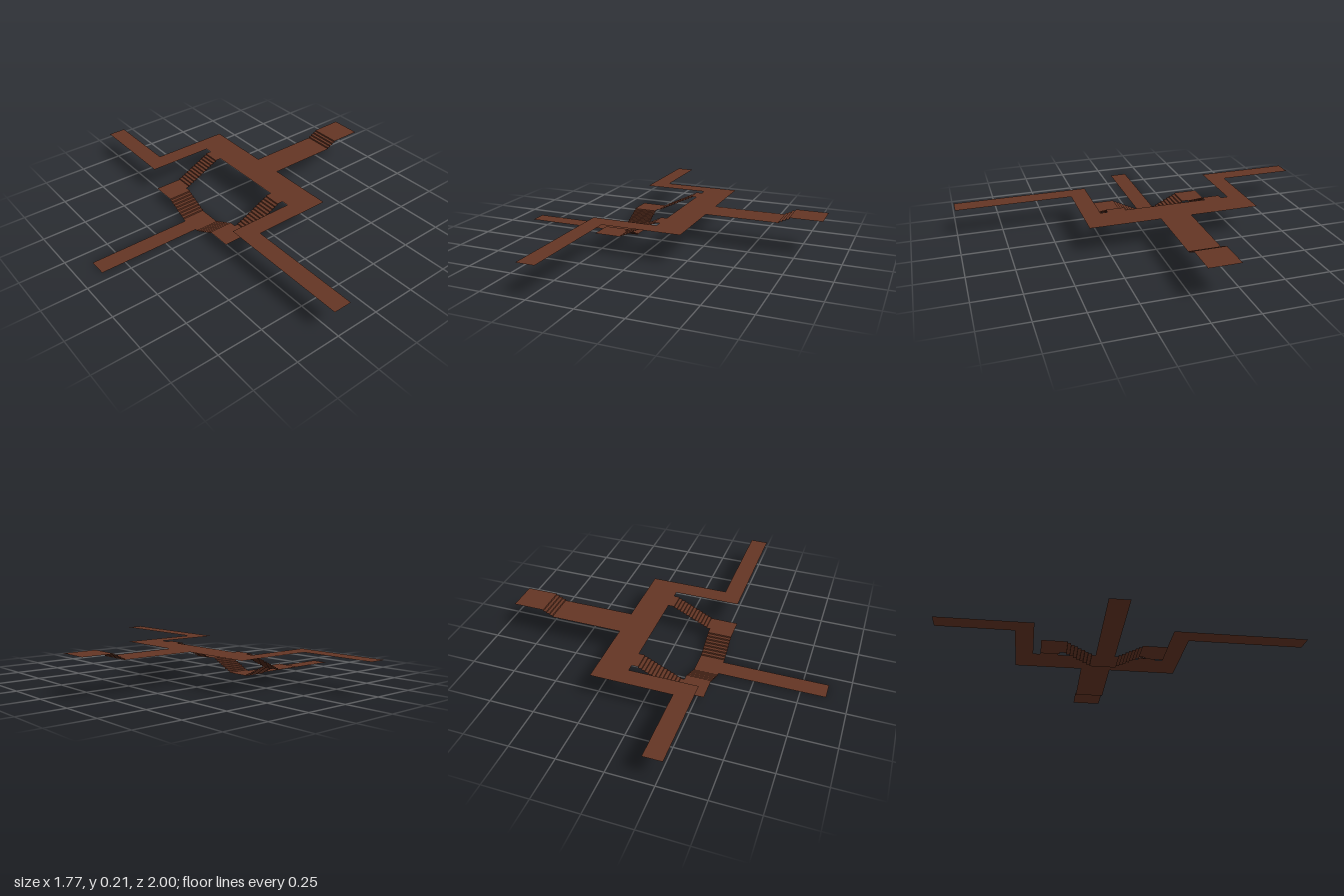
import * as THREE from 'three';

const wood = new THREE.MeshStandardMaterial({ color: 0x643524, side: THREE.DoubleSide });
wood.name = 'brown boards';

const RISE = 0.21 / 24;              // height of one step
const TREAD = 0.0178;                // depth of one step
const AXIS = -0.11;                  // z of the walkway's line of symmetry
const LOW = 0, MID = 8 * RISE, MAIN = 20 * RISE, HIGH = 24 * RISE;

export function createModel() {
  const model = new THREE.Group();
  model.name = 'walkways';

  // horizontal sheet covering x0..x1, z0..z1 at height y
  function deck(name, x0, x1, z0, z1, y, parent = model) {
    const geo = new THREE.PlaneGeometry(Math.abs(x1 - x0), Math.abs(z1 - z0)).rotateX(-Math.PI / 2);
    const mesh = new THREE.Mesh(geo, wood);
    mesh.name = name;
    mesh.position.set((x0 + x1) / 2, y, (z0 + z1) / 2);
    parent.add(mesh);
  }

  // open flight rising along local +x, starting with a riser at the origin
  function stairs(name, width, risers, x, y, z, turn) {
    const flight = new THREE.Group();
    flight.name = name;
    for (let i = 0; i < risers; i++) {
      const riser = new THREE.Mesh(new THREE.PlaneGeometry(width, RISE).rotateY(-Math.PI / 2), wood);
      riser.name = 'riser';
      riser.position.set(i * TREAD, (i + 0.5) * RISE, 0);
      flight.add(riser);
      if (i < risers - 1) {
        deck('tread', i * TREAD, (i + 1) * TREAD, -width / 2, width / 2, (i + 1) * RISE, flight);
      }
    }
    flight.position.set(x, y, z);
    flight.rotation.y = turn;
    model.add(flight);
  }

  // main deck and the arm rising to the end platform
  deck('mainDeck', 0.08, 0.25, -0.58, 0.36, MAIN);
  deck('leftArm', 0.25, 0.655, AXIS - 0.085, AXIS + 0.085, MAIN);
  stairs('leftArmStairs', 0.17, 4, 0.655, MAIN, AXIS, 0);
  deck('leftPlatform', 0.655 + 3 * TREAD, 0.885, AXIS - 0.085, AXIS + 0.085, HIGH);

  // lowest landing and its long arm
  deck('lowLanding', -0.305, -0.17, AXIS - 0.07, AXIS + 0.07, LOW);
  deck('rightArm', -0.885, -0.305, AXIS - 0.05, AXIS + 0.05, LOW);

  // mirrored branches: s = -1 back, s = 1 front
  for (const s of [-1, 1]) {
    const side = s < 0 ? 'back' : 'front';
    const z = (d) => AXIS + s * d;
    deck(side + 'Link', -0.19, 0.08, z(0.37), z(0.47), MAIN);
    deck(side + 'Arm', -0.29, -0.19, z(0.37), s, MAIN);

    // upper flight from the main deck down to the corner
    const foot = -0.15;
    deck(side + 'StairHead', foot + 11 * TREAD, 0.08, z(0.23), z(0.33), MAIN);
    stairs(side + 'UpperStairs', 0.1, 12, foot, MID, z(0.28), 0);

    // corner landing and lower flight down to the low landing
    deck(side + 'Corner', -0.305, -0.17, z(0.07 + 7 * TREAD), z(0.33), MID);
    deck(side + 'StairFoot', -0.17, foot, z(0.23), z(0.33), MID);
    stairs(side + 'LowerStairs', 0.135, 8, -0.2375, LOW, z(0.07), -s * Math.PI / 2);
  }
  return model;
}
